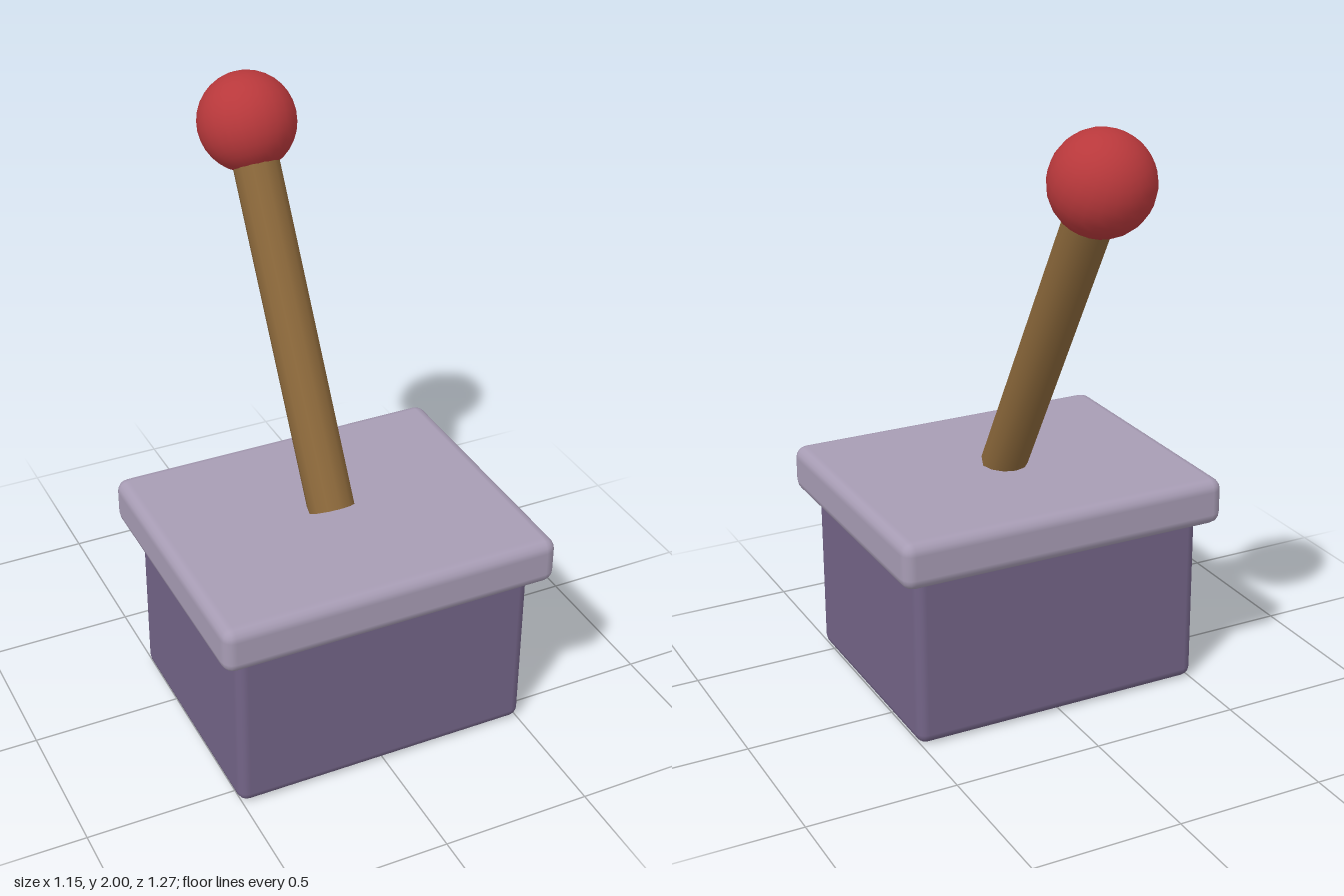
import * as THREE from 'three';
import { RoundedBoxGeometry } from 'three/addons/geometries/RoundedBoxGeometry.js';

const paint = (name, color) => {
  const m = new THREE.MeshStandardMaterial({ color });
  m.name = name;
  return m;
};

export function createModel() {
  const model = new THREE.Group();
  model.name = 'lever';
  const purple = paint('dark purple', 0x736487);
  const lilac = paint('pale lilac', 0xa79cb4);
  const wood = paint('brown wood', 0x8a673a);
  const red = paint('red', 0xb8383b);

  const add = (parent, name, geometry, material, x, y, z) => {
    const mesh = new THREE.Mesh(geometry, material);
    mesh.name = name;
    mesh.position.set(x, y, z);
    parent.add(mesh);
    return mesh;
  };

  const baseZ = 0.163;
  const plateTop = 0.74;

  // Base block with an overhanging lid
  add(model, 'baseBlock', new RoundedBoxGeometry(1.02, 0.64, 0.82, 2, 0.035), purple, 0, 0.32, baseZ);
  add(model, 'topPlate', new RoundedBoxGeometry(1.146, 0.16, 0.937, 2, 0.04), lilac, 0, plateTop - 0.08, baseZ);

  // Handle pivots at the centre of the lid and leans back 30 degrees
  const handle = new THREE.Group();
  handle.name = 'handle';
  handle.position.set(0, plateTop, baseZ);
  handle.rotation.x = -Math.PI / 6;
  model.add(handle);

  const reach = 1.27;
  add(handle, 'shaft', new THREE.CylinderGeometry(0.077, 0.077, reach, 12), wood, 0, reach / 2, 0);
  add(handle, 'knob', new THREE.SphereGeometry(0.162, 24, 16), red, 0, reach, 0);

  return model;
}
